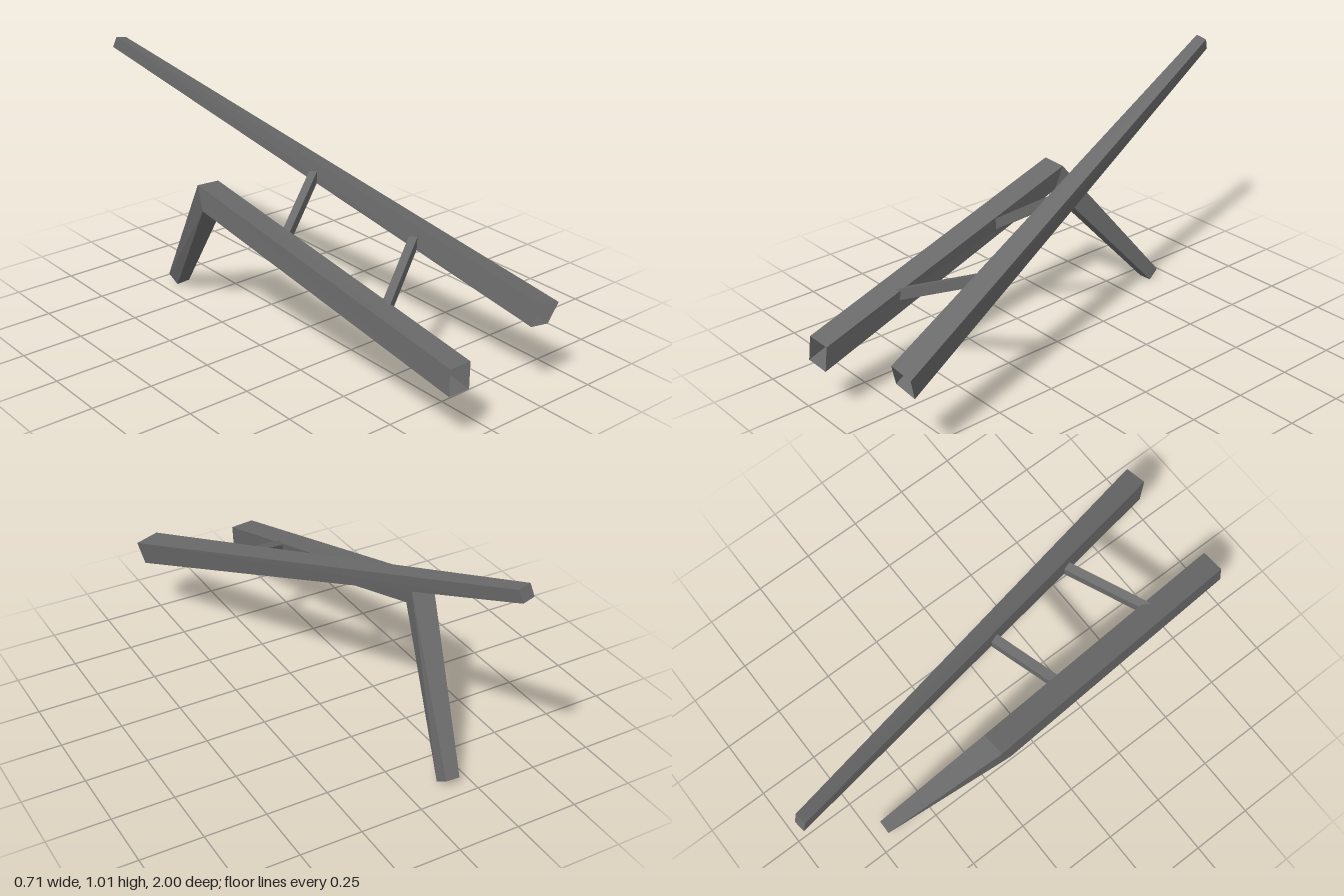
import * as THREE from 'three';

// Four-sided tube through sections of corners (top left, top right, bottom right, bottom left)
function loft(sections, capStart, capEnd) {
  const pos = [];
  const quad = (a, b, c, d) => pos.push(...a, ...b, ...c, ...a, ...c, ...d);
  for (let s = 0; s < sections.length - 1; s++) {
    const near = sections[s], far = sections[s + 1];
    for (let i = 0; i < 4; i++) {
      const j = (i + 1) % 4;
      quad(near[i], near[j], far[j], far[i]);
    }
  }
  if (capStart) quad(...[...sections[0]].reverse());
  if (capEnd) quad(...sections[sections.length - 1]);
  const geometry = new THREE.BufferGeometry();
  geometry.setAttribute('position', new THREE.Float32BufferAttribute(pos, 3));
  geometry.computeVertexNormals();
  return geometry;
}

// Upright rectangular section at a rung end
function rungEnd([x, y, z], h = 0.023, d = 0.02) {
  return [[x, y + h, z - d], [x, y + h, z + d], [x, y - h, z + d], [x, y - h, z - d]];
}

export function createModel() {
  const group = new THREE.Group();
  const grey = new THREE.MeshStandardMaterial({ color: 0x696969, side: THREE.DoubleSide });
  grey.name = 'dark grey';
  const add = (name, geometry) => {
    const mesh = new THREE.Mesh(geometry, grey);
    mesh.name = name;
    group.add(mesh);
  };

  // Long straight rail, open at the front and tapering to the back
  add('straightRail', loft([
    [[0.26, 0.39, 0.967], [0.355, 0.37, 0.957], [0.335, 0.28, 0.93], [0.24, 0.30, 0.938]],
    [[-0.227, 1.01, -0.976], [-0.179, 1.0, -0.982], [-0.187, 0.955, -0.998], [-0.235, 0.965, -0.993]],
  ], false, true));

  // Bent rail, open at the front, with a mitred knee and a tapering leg
  add('bentRail', loft([
    [[-0.209, 0.313, 0.993], [-0.11, 0.307, 0.988], [-0.118, 0.206, 0.995], [-0.217, 0.214, 1.0]],
    [[-0.35, 0.618, -0.243], [-0.251, 0.61, -0.249], [-0.257, 0.516, -0.212], [-0.356, 0.524, -0.206]],
    [[-0.2, 0.035, -0.698], [-0.142, 0.037, -0.697], [-0.134, 0.005, -0.648], [-0.193, 0.002, -0.648]],
  ], false, true));

  // Two rungs climbing from the bent rail to the straight one
  const rungs = {
    frontRung: [[-0.17, 0.37, 0.625], [0.128, 0.49, 0.443]],
    backRung: [[-0.208, 0.488, 0.115], [0.017, 0.64, 0.0]],
  };
  for (const [name, ends] of Object.entries(rungs)) {
    add(name, loft(ends.map((p) => rungEnd(p)), true, true));
  }
  return group;
}
